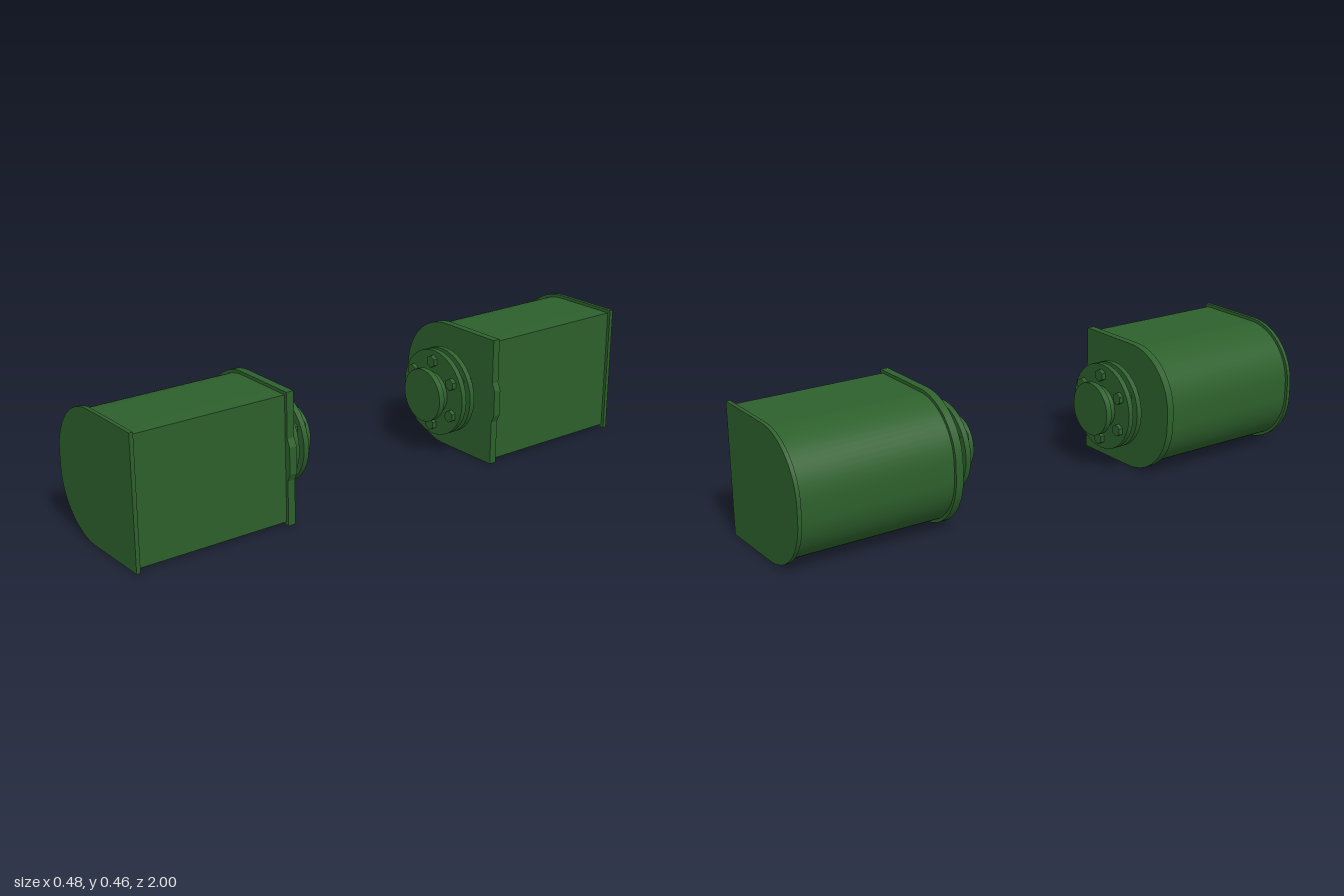
import * as THREE from 'three';
import { toCreasedNormals } from 'three/addons/utils/BufferGeometryUtils.js';

const green = new THREE.MeshStandardMaterial({ color: 0x2d602c });
const MID_Y = 0.2275; // height of the shaft axis

// Housing outline: square on +x, two rounded corners on -x, optional bulge on the +x edge
function outline(inset, bulge) {
  const r = 0.205 - inset;
  const left = -0.227 + inset, right = 0.227 - inset, h = MID_Y - inset;
  const s = new THREE.Shape();
  s.moveTo(right, -h);
  if (bulge) {
    s.lineTo(right, -0.072);
    s.lineTo(right + 0.012, -0.046);
    s.lineTo(right + 0.012, 0.046);
    s.lineTo(right, 0.072);
  }
  s.lineTo(right, h);
  s.lineTo(left + r, h);
  s.absarc(left + r, h - r, r, Math.PI / 2, Math.PI, false);
  s.lineTo(left, r - h);
  s.absarc(left + r, r - h, r, Math.PI, Math.PI * 1.5, false);
  s.closePath();
  return s;
}

// One drum; side is +1 at the front and -1 at the back
function createDrum(side) {
  const drum = new THREE.Group();
  drum.name = side > 0 ? 'frontDrum' : 'backDrum';

  // Extruded slab between two distances from the centre
  const slab = (name, near, far, inset, bulge) => {
    const geo = new THREE.ExtrudeGeometry(outline(inset, bulge), {
      depth: far - near, bevelEnabled: false, curveSegments: 8,
    });
    const mesh = new THREE.Mesh(toCreasedNormals(geo, 0.4), green);
    mesh.name = name;
    mesh.position.set(-0.006 - side * 0.007, MID_Y, side > 0 ? near : -far);
    drum.add(mesh);
  };
  slab('housing', 0.43, 0.99, 0.011, false);
  slab('innerFlange', 0.415, 0.442, 0, true);
  slab('outerFlange', 0.986, 1, 0, false);

  // Round part along z on the shared shaft axis
  const round = (name, radius, near, far, dx = 0, dy = 0, sides = 32) => {
    const geo = new THREE.CylinderGeometry(radius, radius, far - near, sides);
    geo.rotateX(Math.PI / 2);
    const mesh = new THREE.Mesh(sides > 6 ? geo : toCreasedNormals(geo, 0.4), green);
    mesh.name = name;
    mesh.position.set(0.017 + dx, MID_Y + dy, side * (near + far) / 2);
    drum.add(mesh);
  };
  round('shaft', 0.076, 0.285, 0.425);
  round('endCollar', 0.095, 0.277, 0.299);
  round('couplingDiscOuter', 0.155, 0.328, 0.347);
  round('couplingDiscInner', 0.155, 0.365, 0.384);

  // Ring of six hex bolts through both coupling discs
  for (let i = 0; i < 6; i++) {
    const a = Math.PI / 2 + i * Math.PI / 3;
    round('couplingBolt', 0.022, 0.313, 0.399, 0.117 * Math.cos(a), 0.117 * Math.sin(a), 6);
  }
  return drum;
}

export function createModel() {
  const model = new THREE.Group();
  model.name = 'drumPair';
  model.add(createDrum(1), createDrum(-1));
  return model;
}
